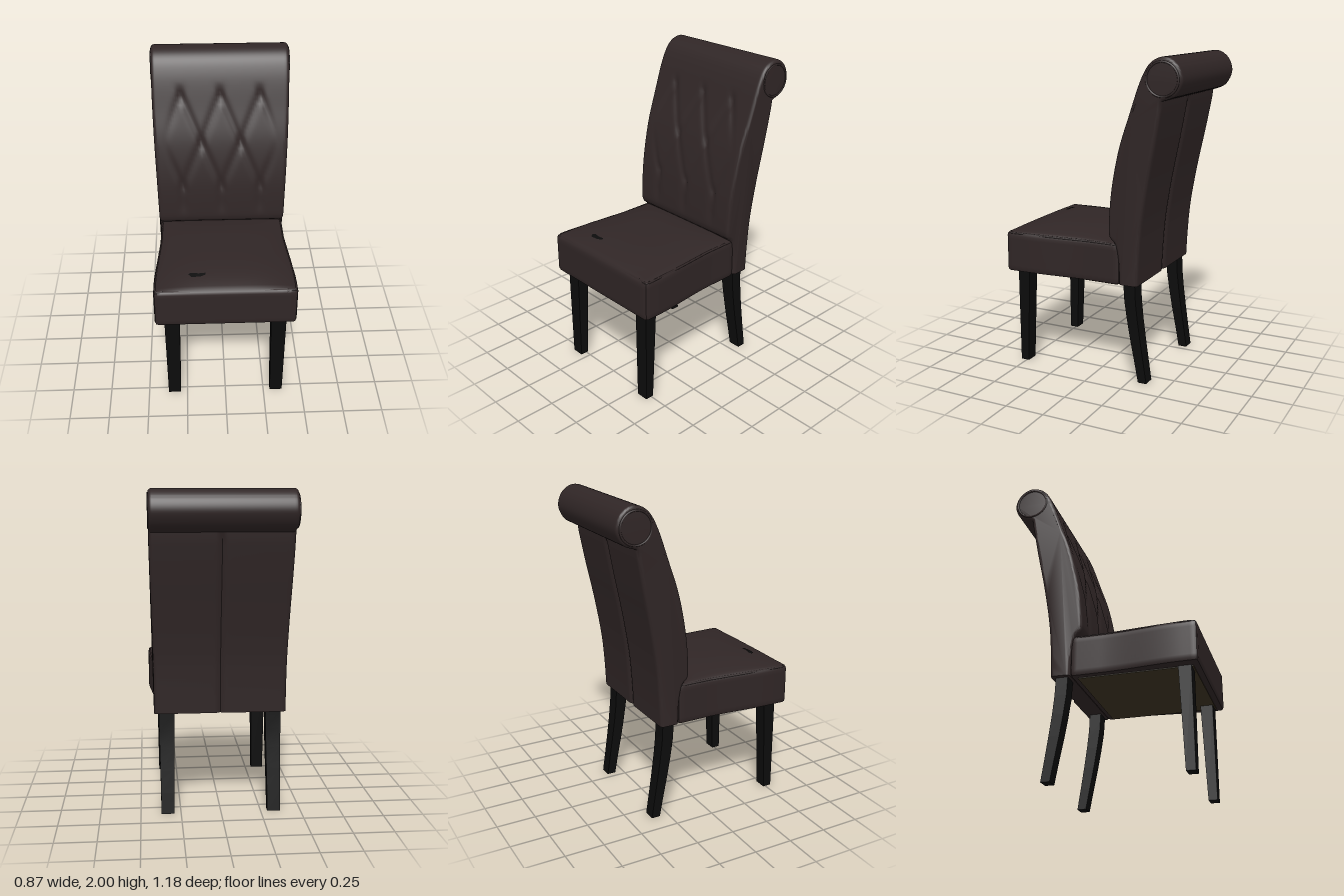
import * as THREE from 'three';
import { toCreasedNormals, mergeVertices } from 'three/addons/utils/BufferGeometryUtils.js';

const upholstery = new THREE.MeshStandardMaterial({ color: 0x302626 });
upholstery.name = 'darkBrownLeather';
const legWood = new THREE.MeshStandardMaterial({ color: 0x0c0c0c });
legWood.name = 'blackWood';
const lining = new THREE.MeshStandardMaterial({ color: 0x3d3422 });
lining.name = 'oliveLining';

const { clamp, smoothstep } = THREE.MathUtils;

function add(group, name, geometry, material) {
  const mesh = new THREE.Mesh(geometry, material);
  mesh.name = name;
  group.add(mesh);
  return mesh;
}

function moveVertices(geometry, rule) {
  const p = geometry.attributes.position;
  const v = new THREE.Vector3();
  for (let i = 0; i < p.count; i++) {
    rule(v.fromBufferAttribute(p, i));
    p.setXYZ(i, v.x, v.y, v.z);
  }
  return geometry;
}

// ---- seat: rounded block, wider at the front, with a domed top
const SEAT_Z = 0.2, SEAT_DEPTH = 0.39;
const seatHalfWidth = (z) => 0.403 + 0.034 * smoothstep(z, 0, 0.5);
const seatTop = (x, z) => {
  const a = Math.min(1, Math.abs(x / seatHalfWidth(z)));
  const b = Math.min(1, Math.abs((z - SEAT_Z) / SEAT_DEPTH));
  return 0.88 + 0.05 * (1 - a ** 3) * (1 - b ** 3);
};

function seatGeometry() {
  const half = new THREE.Vector3(1, 0.13, SEAT_DEPTH), r = 0.022;
  const geo = new THREE.BoxGeometry(0.86, 0.26, 0.78, 36, 12, 36);
  half.x = 0.43;
  moveVertices(geo, (v) => {
    const core = new THREE.Vector3(
      clamp(v.x, r - half.x, half.x - r),
      clamp(v.y, r - half.y, half.y - r),
      clamp(v.z, r - half.z, half.z - r));
    const out = v.clone().sub(core);
    if (out.lengthSq() > 1e-9) v.copy(core).addScaledVector(out.normalize(), r);
    v.z += SEAT_Z;
    v.x *= seatHalfWidth(v.z) / half.x;
    const lift = seatTop(v.x, v.z) - 0.88;
    v.y += 0.75 + lift * smoothstep(v.y, 0.08, 0.13);
  });
  return toCreasedNormals(geo, 0.7);
}

function seatPiping() {
  const pts = [];
  const zs = [-0.17, 0.05, 0.3, 0.5, 0.575];
  for (const z of zs) pts.push(new THREE.Vector3(seatHalfWidth(z) - 0.01, 0.874, z));
  for (const z of [...zs].reverse()) pts.push(new THREE.Vector3(0.01 - seatHalfWidth(z), 0.874, z));
  const path = new THREE.CurvePath();
  pts.forEach((p, i) => path.add(new THREE.LineCurve3(p, pts[(i + 1) % pts.length])));
  return new THREE.TubeGeometry(path, 120, 0.007, 6, true);
}

// ---- backrest: side profile [z, y] swept across the width
const frontPoints = [
  [-0.19, 0.63], [-0.185, 0.76], [-0.165, 0.87], [-0.125, 0.92], [-0.12, 1.0], [-0.14, 1.21],
  [-0.19, 1.45], [-0.26, 1.66], [-0.335, 1.87], [-0.4, 1.97], [-0.49, 2.0], [-0.565, 1.955],
  [-0.592, 1.87], [-0.55, 1.785], [-0.468, 1.75],
];
const rearPoints = [[-0.462, 1.7], [-0.425, 1.5], [-0.375, 1.25], [-0.335, 1.0], [-0.318, 0.8], [-0.31, 0.63]];
const sample = (pts, n) =>
  new THREE.SplineCurve(pts.map(([z, y]) => new THREE.Vector2(z, y))).getPoints(n);

const crease = (t, width) => Math.exp(-(((t - Math.round(t)) / width) ** 2));

// depth of the diamond tufting at a point on the front
function tuft(x, y) {
  const u = x / 0.25, v = (y - 1.17) / 0.58;
  const side = 1 - smoothstep(Math.abs(x), 0.27, 0.38);
  const a = crease(u + v, 0.1), b = crease(u - v, 0.1);
  const band = smoothstep(y, 1.1, 1.2) * (1 - smoothstep(y, 1.72, 1.82));
  const pleat = smoothstep(y, 0.93, 1.05) * (1 - smoothstep(y, 1.1, 1.22));
  return side * (band * (0.008 * Math.max(a, b) + 0.014 * a * b) + pleat * 0.009 * crease(u, 0.12));
}

function backGeometry() {
  const front = sample(frontPoints, 110), rear = sample(rearPoints, 24);
  const ring = [...front, ...rear], n = ring.length, r = 0.022;
  const halfWidth = (y) => 0.41 + 0.022 * smoothstep(y, 0.8, 1.85);

  // columns: fraction of the flat width, then how far round the edge
  const columns = [];
  for (let k = 5; k > 0; k--) columns.push([-1, Math.sin((k / 5) * Math.PI / 2)]);
  for (let k = 0; k <= 64; k++) columns.push([k / 32 - 1, 0]);
  for (let k = 1; k <= 5; k++) columns.push([1, Math.sin((k / 5) * Math.PI / 2)]);

  const pos = [], index = [];
  columns.forEach(([s, t]) => {
    ring.forEach((p, i) => {
      const q0 = ring[Math.max(i - 1, 0)], q1 = ring[Math.min(i + 1, n - 1)];
      const d = q1.clone().sub(q0).normalize();
      const x = s * (halfWidth(p.y) - r + r * t);
      let inset = r * (1 - Math.sqrt(1 - t * t));
      if (i < 75) inset += tuft(x, p.y);
      if (i >= front.length) inset += 0.014 * Math.exp(-((x / 0.016) ** 2));
      pos.push(x, p.y + d.x * inset, p.x - d.y * inset);
    });
  });
  const last = columns.length - 1;
  for (let j = 0; j < last; j++) {
    for (let i = 0; i < n; i++) {
      const k = (i + 1) % n;
      const a = j * n + i, b = a + n, c = j * n + k, e = c + n;
      index.push(a, b, c, b, e, c);
    }
  }
  // flat ends
  const endRing = ring.map((_, i) => new THREE.Vector2(pos[i * 3 + 2], pos[i * 3 + 1]));
  for (const [a, b, c] of THREE.ShapeUtils.triangulateShape(endRing, [])) {
    index.push(a, b, c, last * n + a, last * n + c, last * n + b);
  }
  const geo = new THREE.BufferGeometry();
  geo.setAttribute('position', new THREE.Float32BufferAttribute(pos, 3));
  geo.setIndex(index);
  return toCreasedNormals(mergeVertices(geo), 0.8);
}

// ---- legs: square sections [y, z centre, half x, half z] from top to floor
function legGeometry(sections) {
  const n = sections.length - 1;
  const geo = new THREE.BoxGeometry(2, 1, 2, 1, n, 1);
  moveVertices(geo, (v) => {
    const [y, z, hx, hz] = sections[Math.round((0.5 - v.y) * n)];
    v.set(v.x * hx, y, z + v.z * hz);
  });
  return toCreasedNormals(geo, 0.6);
}

export function createModel() {
  const chair = new THREE.Group();
  chair.name = 'diningChair';

  add(chair, 'seat', seatGeometry(), upholstery);
  add(chair, 'seatPiping', seatPiping(), upholstery);
  add(chair, 'backrest', backGeometry(), upholstery);

  // lining under the seat
  const under = add(chair, 'seatLining', new THREE.BoxGeometry(0.74, 0.008, 0.7), lining);
  under.position.set(0, 0.619, 0.2);

  // small dark mark on the cushion
  const mark = new THREE.Shape().setFromPoints(
    [[-0.225, 0.455], [-0.21, 0.445], [-0.16, 0.453], [-0.12, 0.45], [-0.118, 0.465], [-0.15, 0.478], [-0.205, 0.48]]
      .map(([x, z]) => new THREE.Vector2(x, -z)));
  const markGeo = moveVertices(new THREE.ShapeGeometry(mark), (v) => {
    v.z = -v.y;
    v.y = seatTop(v.x, v.z) + 0.004;
  });
  markGeo.computeVertexNormals();
  add(chair, 'cushionMark', markGeo, legWood);

  const frontLeg = legGeometry([[0.64, 0.5, 0.048, 0.04], [0, 0.513, 0.04, 0.028]]);
  const rearLeg = legGeometry([
    [0.64, -0.247, 0.048, 0.038], [0.52, -0.253, 0.047, 0.037], [0.4, -0.268, 0.045, 0.035],
    [0.27, -0.288, 0.043, 0.033], [0.13, -0.312, 0.041, 0.03], [0, -0.334, 0.04, 0.028],
  ]);
  for (const side of [1, -1]) {
    const label = side > 0 ? 'Left' : 'Right';
    add(chair, 'frontLeg' + label, frontLeg, legWood).position.x = side * 0.332;
    add(chair, 'rearLeg' + label, rearLeg, legWood).position.x = side * 0.332;
    // welt around the end of the rolled top
    const welt = add(chair, 'scrollWelt' + label, new THREE.TorusGeometry(0.098, 0.007, 6, 32), upholstery);
    welt.rotation.y = Math.PI / 2;
    welt.position.set(side * 0.43, 1.875, -0.472);
  }
  return chair;
}
